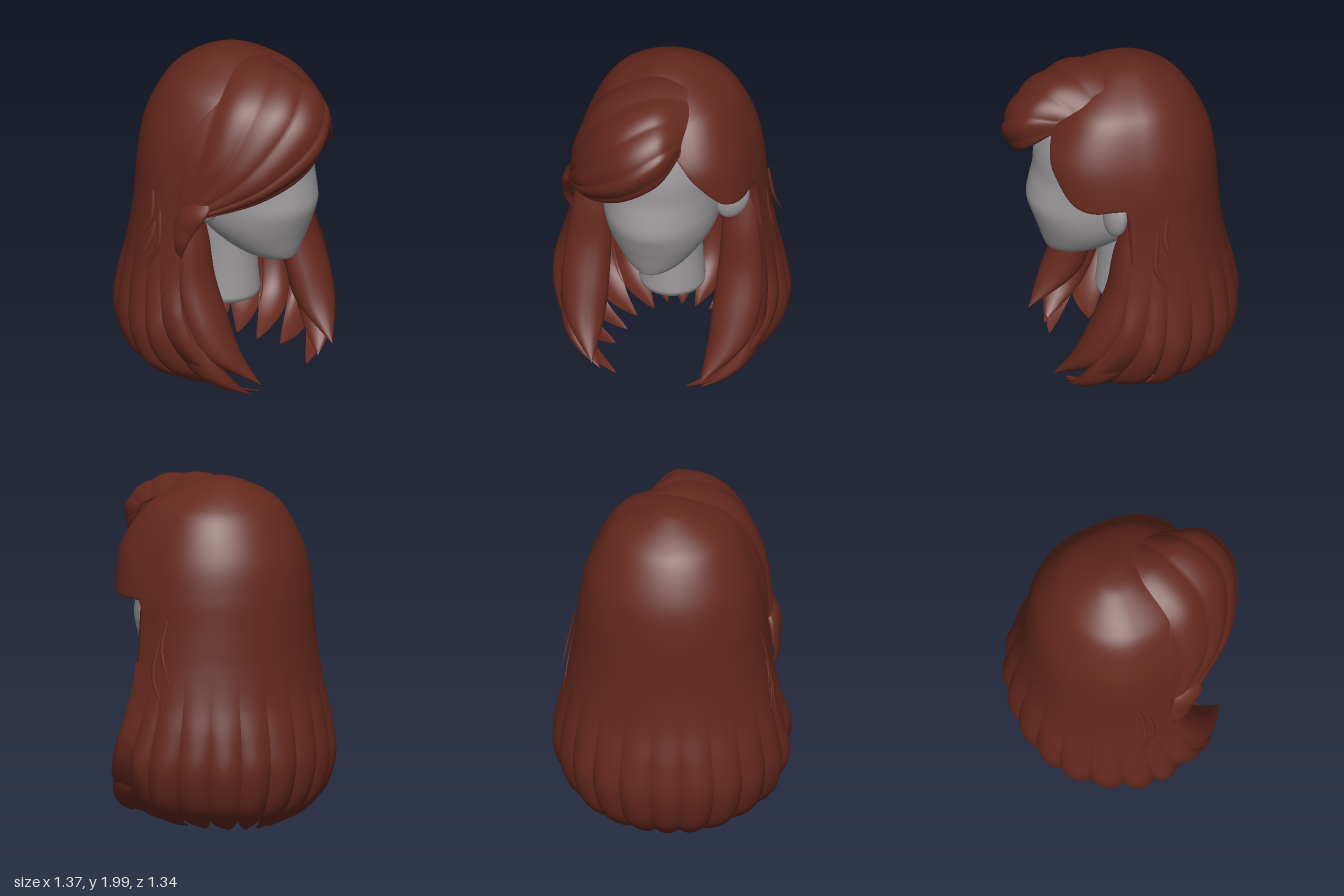
import * as THREE from 'three';
import { mergeVertices } from 'three/addons/utils/BufferGeometryUtils.js';

const hair = new THREE.MeshStandardMaterial({ color: 0x64281d, side: THREE.DoubleSide });
hair.name = 'auburn hair';
const skin = new THREE.MeshStandardMaterial({ color: 0x9c999b, side: THREE.DoubleSide });
skin.name = 'mannequin grey';

const V = (x, y, z) => new THREE.Vector3(x, y, z);
const clamp = THREE.MathUtils.clamp;
const smooth = THREE.MathUtils.smoothstep;

// Smooth lookup in a table of rows at fractional index s
function sample(rows, s) {
  s = clamp(s, 0, rows.length - 1);
  const i = Math.min(Math.floor(s), rows.length - 2), k = s - i;
  const at = (j) => rows[clamp(j, 0, rows.length - 1)];
  return rows[0].map((_, c) => {
    const a = at(i - 1)[c], b = at(i)[c], d = at(i + 1)[c], e = at(i + 2)[c];
    return b + 0.5 * k * (d - a + k * (2 * a - 5 * b + 4 * d - e + k * (3 * (b - d) + e - a)));
  });
}

// Grid surface from a rule fn(u, v) -> Vector3
function surface(fn, nu, nv) {
  const pos = [], idx = [];
  for (let j = 0; j <= nv; j++)
    for (let i = 0; i <= nu; i++) pos.push(...fn(i / nu, j / nv).toArray());
  for (let j = 0; j < nv; j++)
    for (let i = 0; i < nu; i++) {
      const a = j * (nu + 1) + i, b = a + nu + 1;
      idx.push(a, b, a + 1, a + 1, b, b + 1);
    }
  let g = new THREE.BufferGeometry();
  g.setAttribute('position', new THREE.Float32BufferAttribute(pos, 3));
  g.setIndex(idx);
  g = mergeVertices(g, 1e-4);
  g.computeVertexNormals();
  return g;
}

// Hair volume: height, half width, depth behind and in front of the axis
const VOLUME = [
  [2.0, 0, 0, 0], [1.985, 0.1, 0.1, 0.12], [1.9, 0.28, 0.25, 0.3], [1.8, 0.385, 0.35, 0.415],
  [1.6, 0.48, 0.45, 0.535], [1.4, 0.525, 0.49, 0.54], [1.2, 0.545, 0.505, 0.53],
  [1.0, 0.57, 0.52, 0.5], [0.8, 0.61, 0.55, 0.5], [0.6, 0.66, 0.6, 0.5],
  [0.4, 0.69, 0.625, 0.5], [0.2, 0.635, 0.575, 0.46], [0.08, 0.5, 0.47, 0.36], [0.01, 0.3, 0.34, 0.24],
];
const NAPE = 7; // row where the cap splits into locks

// Point on the volume; t is the angle from the back towards +x
function onVolume(t, s, scale = 1) {
  const [y, w, b, f] = sample(VOLUME, s);
  const c = Math.cos(t);
  const swell = t > 0 ? 0.13 : 0.05;
  const r = scale * (c < 0 ? 1 + swell * Math.sin(2 * t) ** 2 : 1);
  return V(w * r * Math.sin(t), y, -0.05 - (c > 0 ? b : f) * c * r);
}

// Height of the hairline at angle t
const LINE = [[1.35], [1.34], [1.38], [1.52], [1.67], [1.725], [1.74]];
const hairline = (t) => (Math.abs(t) < 1.8 ? 0 : sample(LINE, (Math.abs(t) - 1.95) / 0.2)[0]);

function capPoint(u, v) {
  const t = (u * 2 - 1) * Math.PI, s = v * NAPE, line = hairline(t);
  const p = onVolume(t, s);
  if (p.y >= line) return p;
  // tuck the rim in under the hairline
  let lo = 0, hi = s;
  for (let i = 0; i < 18; i++) {
    const m = (lo + hi) / 2;
    if (sample(VOLUME, m)[0] > line) lo = m; else hi = m;
  }
  return onVolume(t, lo, 1 - 0.14 * smooth(line - p.y, 0, 0.12));
}

// Forward sweep of the hair ends: slight at the back, strong beside the face
const sweep = (t, sideLock) => (sideLock ? 0.16 + 0.24 * smooth(t, 1.38, 1.7) : 0.11 * smooth(t, 0.5, 1.4));

// One rounded lock of the curtain between angles t0 and t1
function curtainLock(t0, t1, side, tip, sideLock) {
  const mid = (t0 + t1) / 2, half = ((t1 - t0) / 2) * 1.1;
  return surface((u, v) => {
    const s = NAPE + v * (tip - NAPE);
    const taper = 1 - 0.97 * clamp((v - 0.72) / 0.28, 0, 1) ** 2;
    const t = mid + (u * 2 - 1) * half * taper;
    const depth = 0.075 * smooth(v, 0, 0.7);
    const p = onVolume(t * side, s, 1 - depth * (1 - Math.sin(Math.PI * u) ** 0.8));
    const shift = sweep(t, sideLock) * Math.max(0, 1 - p.y) ** 2;
    p.z += shift;
    if (sideLock) p.x *= 1 - 0.9 * Math.max(0, shift - 0.07);
    return p;
  }, 14, 36);
}

// Solid lock with level oval sections; rows are x, y, z, half width, half depth
const solidLock = (rows, nu = 18, nv = 40) => surface((u, v) => {
  const [x, y, z, rx, rz] = sample(rows, v * (rows.length - 1));
  const a = u * Math.PI * 2;
  return V(x + Math.max(rx, 0.001) * Math.cos(a), y, z + Math.max(rz, 0.001) * Math.sin(a));
}, nu, nv);

const mirrored = (rows, side) => rows.map(([x, ...rest]) => [x * side, ...rest]);

// Fringe guide lines, from the parting to the temple, ordered crown to inner edge
const FRINGE = [
  [[0.04, 1.975, -0.1], [-0.16, 1.935, -0.11], [-0.36, 1.78, -0.06], [-0.485, 1.55, -0.02], [-0.53, 1.25, 0.02]],
  [[0.16, 1.945, 0.1], [-0.06, 1.975, 0.17], [-0.32, 1.84, 0.25], [-0.48, 1.55, 0.23], [-0.55, 1.24, 0.1]],
  [[0.2, 1.86, 0.29], [0.04, 1.925, 0.43], [-0.19, 1.79, 0.53], [-0.42, 1.5, 0.42], [-0.555, 1.23, 0.16]],
  [[0.2, 1.79, 0.41], [0.12, 1.77, 0.59], [-0.08, 1.62, 0.665], [-0.36, 1.4, 0.51], [-0.55, 1.22, 0.2]],
  [[0.2, 1.72, 0.44], [0.11, 1.58, 0.57], [-0.1, 1.43, 0.59], [-0.33, 1.3, 0.45], [-0.54, 1.2, 0.2]],
  [[0.18, 1.73, 0.41], [0.07, 1.63, 0.49], [-0.1, 1.48, 0.49], [-0.3, 1.36, 0.39], [-0.49, 1.23, 0.18]],
];
function fringePoint(u, v) {
  const across = FRINGE.map((line) => sample(line, v * 4));
  const p = V(...sample(across, u * 5));
  const ripple = 0.014 * (Math.abs(Math.sin(u * Math.PI * 7)) - 0.5) * Math.sin(Math.PI * v) ** 0.5;
  return p.add(p.clone().sub(V(0, 1.4, 0)).setLength(1).multiplyScalar(ripple));
}

// Head sections: height, half width, front z, back z
const HEAD = [
  [0.795, 0.005, 0.31, 0.29], [0.802, 0.09, 0.415, 0.14], [0.85, 0.175, 0.445, 0.03], [0.95, 0.26, 0.478, -0.13],
  [1.05, 0.312, 0.512, -0.24], [1.15, 0.335, 0.54, -0.32], [1.25, 0.348, 0.525, -0.38], [1.35, 0.362, 0.503, -0.4],
  [1.5, 0.378, 0.493, -0.42], [1.65, 0.375, 0.45, -0.42], [1.76, 0.33, 0.36, -0.37], [1.86, 0.005, 0, -0.01],
];
const headPoint = (u, v) => {
  const [y, w, zf, zb] = sample(HEAD, v * (HEAD.length - 1));
  const a = u * Math.PI * 2;
  return V(w * Math.sin(a), y, (zf + zb) / 2 + ((zf - zb) / 2) * Math.cos(a));
};

export function createModel() {
  const model = new THREE.Group();
  model.name = 'hairstyleOnMannequin';
  const add = (name, geometry, material) => {
    const m = new THREE.Mesh(geometry, material);
    m.name = name;
    model.add(m);
    return m;
  };

  // Mannequin
  add('head', surface(headPoint, 48, 44), skin);
  const neckProfile = [[0.001, 0.43], [0.15, 0.43], [0.185, 0.45], [0.19, 0.48], [0.178, 0.6], [0.172, 0.75], [0.18, 0.95]];
  add('neck', new THREE.LatheGeometry(neckProfile.map((p) => new THREE.Vector2(...p)), 32), skin).position.z = -0.05;

  // Hair cap and swept fringe
  add('hairCap', surface(capPoint, 200, 70), hair);
  add('sweptFringe', surface(fringePoint, 98, 40), hair);
  add('fringeEnd', solidLock([
    [-0.47, 1.33, 0.2, 0.03, 0.06], [-0.545, 1.22, 0.15, 0.035, 0.09], [-0.57, 1.1, 0.1, 0.025, 0.07],
    [-0.58, 1.0, 0.08, 0.015, 0.04], [-0.54, 0.85, 0.04, 0, 0],
  ]), hair);

  for (const side of [1, -1]) {
    const ear = add(side > 0 ? 'leftEar' : 'rightEar', new THREE.SphereGeometry(1, 24, 18), skin);
    ear.scale.set(0.09, 0.135, 0.055);
    ear.position.set(0.412 * side, 1.23, 0.12);
    ear.rotation.set(0, 0.35 * side, -0.32 * side);

    // Back curtain, then the side locks that sweep forward
    for (let i = 0; i < 5; i++)
      add('backLock', curtainLock(i * 0.28, (i + 1) * 0.28, side, 13 - (i % 2) * 0.15, false), hair);
    add('sideLock', curtainLock(1.38, 1.56, side, 12.7, true), hair);
    add('sideLock', curtainLock(1.56, 1.8, side, 12.9, true), hair);

    add('frontLock', solidLock(mirrored([
      [0.43, 1.3, 0.0, 0.08, 0.03], [0.44, 1.0, 0.06, 0.11, 0.07], [0.45, 0.75, 0.09, 0.13, 0.09],
      [0.45, 0.5, 0.17, 0.14, 0.11], [0.42, 0.3, 0.26, 0.11, 0.11], [0.32, 0.13, 0.46, 0, 0],
    ], side)), hair);
    add('frontLock', solidLock(mirrored([
      [0.49, 1.15, 0.0, 0.04, 0.04], [0.51, 0.8, 0.02, 0.06, 0.1], [0.53, 0.5, 0.09, 0.07, 0.12],
      [0.5, 0.25, 0.18, 0.08, 0.12], [0.42, 0.12, 0.27, 0.06, 0.08], [0.3, 0.03, 0.37, 0, 0],
    ], side)), hair);

    // Loose wisps
    const wisps = [
      [[0.54, 1.27, -0.15], [0.575, 1.1, -0.14], [0.605, 0.93, -0.23]],
      [[0.54, 1.17, -0.1], [0.585, 0.95, -0.08], [0.6, 0.76, -0.18]],
    ];
    if (side < 0) wisps.push([[0.56, 1.08, -0.12], [0.6, 0.95, -0.14], [0.645, 0.77, -0.22]]);
    for (const w of wisps)
      add('wisp', solidLock(mirrored(w.map((p, i) => [...p, [0.008, 0.008, 0][i], [0.012, 0.016, 0][i]]), side), 8, 20), hair);
  }
  return model;
}
